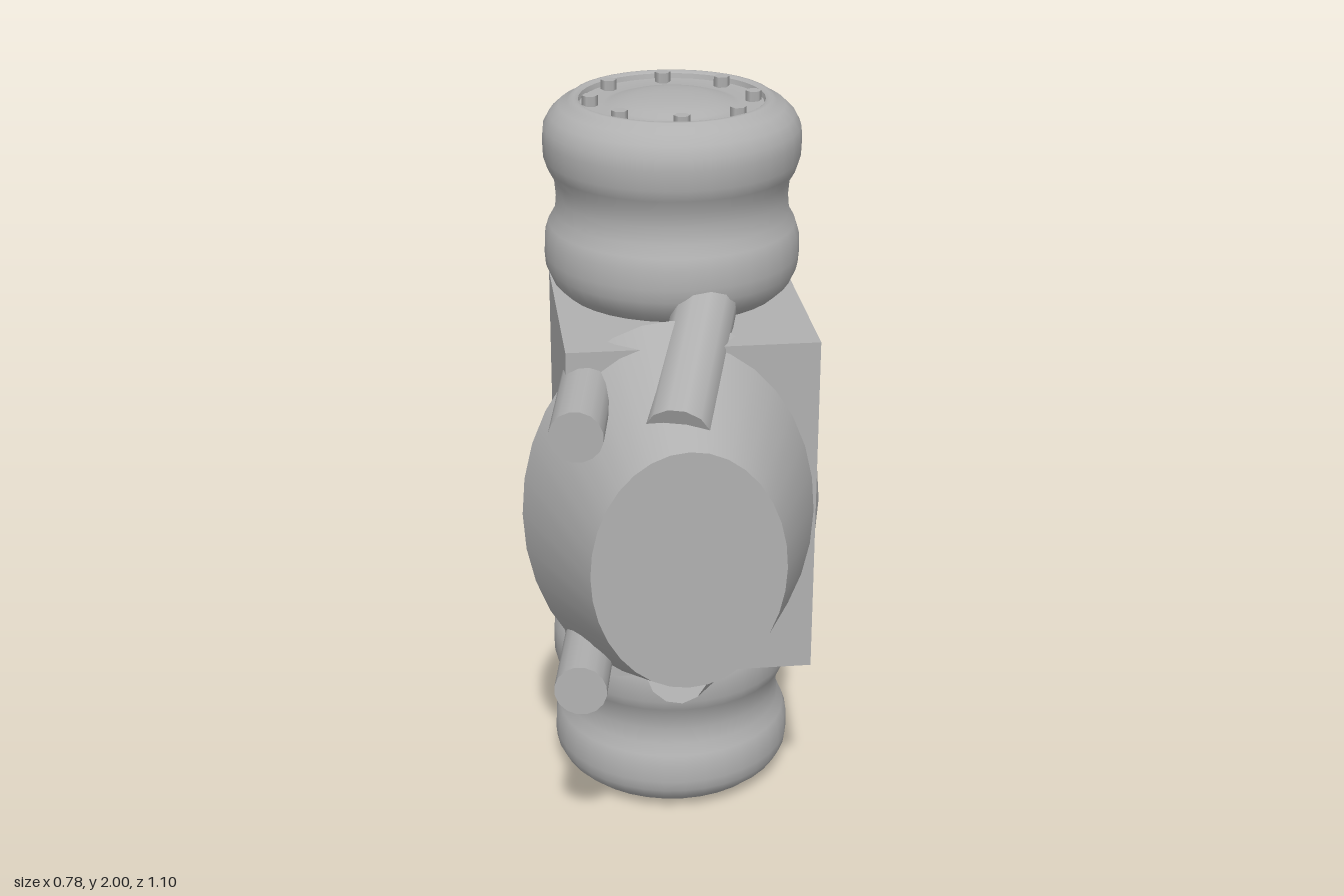
import * as THREE from 'three';
import { toCreasedNormals } from 'three/addons/utils/BufferGeometryUtils.js';

export function createModel() {
  const model = new THREE.Group();
  const grey = new THREE.MeshStandardMaterial({ color: 0xb0b0b0 });

  const add = (parent, name, geometry, x = 0, y = 0, z = 0) => {
    const mesh = new THREE.Mesh(geometry, grey);
    mesh.name = name;
    mesh.position.set(x, y, z);
    parent.add(mesh);
    return mesh;
  };

  // Straight pipe between two points
  const pipe = (name, from, to, radius, sides) => {
    const a = new THREE.Vector3(...from), b = new THREE.Vector3(...to);
    const dir = b.clone().sub(a);
    const mesh = add(model, name, new THREE.CylinderGeometry(radius, radius, dir.length(), sides));
    mesh.position.copy(a).add(b).multiplyScalar(0.5);
    mesh.quaternion.setFromUnitVectors(new THREE.Vector3(0, 1, 0), dir.normalize());
  };

  // Central housing block
  add(model, 'housing', new THREE.BoxGeometry(0.645, 0.935, 0.61), 0.048, 1.003, -0.065);

  // Elliptical cone on the front
  const cone = new THREE.CylinderGeometry(0.245, 0.39, 0.375, 32);
  cone.rotateX(Math.PI / 2);
  cone.scale(1, 4 / 3, 1);
  add(model, 'frontCone', cone, 0, 1, 0.3625);

  // Drum profile, heights measured from the middle of the model
  const profile = [
    [0, 0.47], [0.27, 0.47], [0.29, 0.478], [0.318, 0.505], [0.336, 0.545], [0.339, 0.58], [0.337, 0.63],
    [0.327, 0.66], [0.31, 0.69], [0.306, 0.735], [0.31, 0.78], [0.327, 0.81], [0.337, 0.84],
    [0.339, 0.89], [0.336, 0.92], [0.32, 0.95], [0.295, 0.973], [0.272, 0.983],
    [0.262, 0.993], [0.253, 0.994], [0.243, 0.988], [0.24, 0.975], [0.18, 0.972],
    [0.165, 0.975], [0.14, 0.984], [0.1, 0.992], [0.05, 0.996], [0, 0.997],
  ].map(([r, y]) => new THREE.Vector2(r, y));
  const drumGeometry = toCreasedNormals(new THREE.LatheGeometry(profile, 36), 0.75);

  // Upper and lower drums, each with neck and bolt circle
  for (const [side, turn] of [['upper', 0], ['lower', Math.PI]]) {
    const drum = new THREE.Group();
    drum.name = side + 'Drum';
    drum.position.set(0.045, 1, -0.212);
    drum.rotation.x = turn;
    model.add(drum);
    add(drum, side + 'DrumBody', drumGeometry);
    add(drum, side + 'Neck', new THREE.CylinderGeometry(0.266, 0.256, 0.115, 36), 0, 0.425, 0);
    for (let i = 0; i < 8; i++) {
      const a = i * Math.PI / 4;
      const bolt = add(drum, side + 'Bolt', new THREE.CylinderGeometry(0.021, 0.021, 0.03, 6),
        0.213 * Math.cos(a), 0.985, 0.213 * Math.sin(a));
      bolt.rotation.y = Math.PI / 6;
    }
  }

  // Mirrored pipes: centre pipes run into the drums, side pipes end free at the front
  for (const [side, s] of [['upper', 1], ['lower', -1]]) {
    pipe(side + 'CentrePipe', [-0.018, 1 + s * 0.335, 0.455], [0.135, 1 + s * 0.565, -0.06], 0.082, 12);
    pipe(side + 'SidePipe', [-0.27, 1 + s * 0.353, 0.492], [-0.21, 1 + s * 0.365, 0.14], 0.068, 16);
  }

  return model;
}
